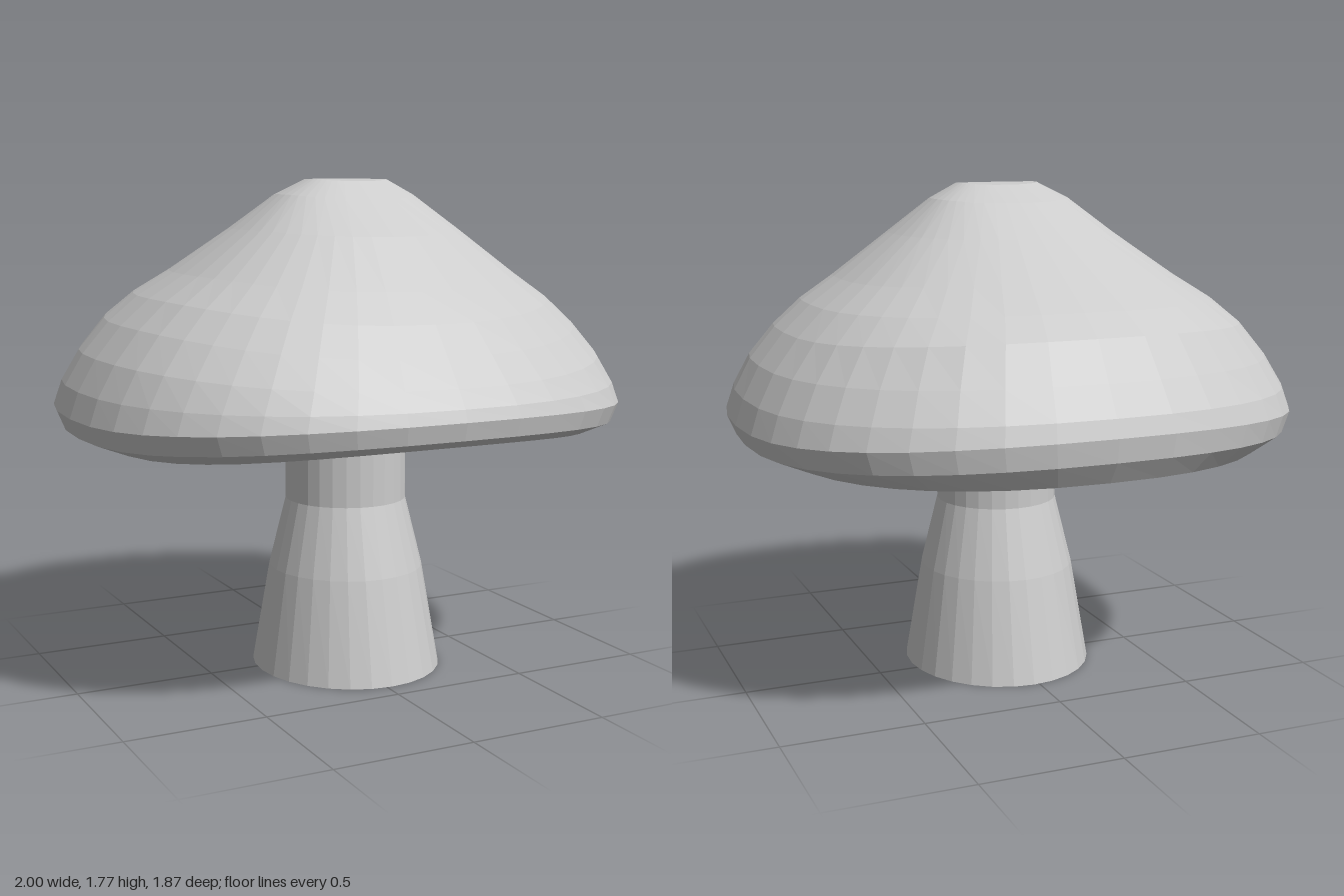
import * as THREE from 'three';

const material = new THREE.MeshStandardMaterial({ color: 0xcccccc, flatShading: true });

// Cap rings from crown, over the rim, to the hollow underside:
// [half width in x, front z, back z, y at sides, y at front, y at back]
const CAP_RINGS = [
  [0.00, 0.08, 0.08, 1.775, 1.775, 1.775],
  [0.15, 0.19, -0.01, 1.773, 1.765, 1.768],
  [0.25, 0.28, -0.13, 1.72, 1.70, 1.71],
  [0.40, 0.45, -0.31, 1.60, 1.58, 1.60],
  [0.60, 0.63, -0.53, 1.45, 1.41, 1.47],
  [0.72, 0.73, -0.67, 1.37, 1.31, 1.39],
  [0.82, 0.81, -0.77, 1.28, 1.21, 1.32],
  [0.91, 0.88, -0.85, 1.17, 1.12, 1.19],
  [0.97, 0.92, -0.91, 1.06, 1.06, 1.09],
  [1.00, 0.935, -0.93, 0.97, 1.02, 1.03],
  [0.97, 0.92, -0.92, 0.90, 0.96, 0.95],
  [0.86, 0.86, -0.87, 0.857, 0.93, 0.875],
  [0.75, 0.75, -0.74, 0.89, 0.95, 0.90],
  [0.60, 0.62, -0.57, 0.99, 1.01, 0.99],
  [0.43, 0.47, -0.38, 1.09, 1.09, 1.09],
  [0.26, 0.31, -0.21, 1.15, 1.15, 1.15],
  [0.00, 0.05, 0.05, 1.16, 1.16, 1.16],
];

function capGeometry(segments = 40) {
  const positions = [], index = [];
  const round = (v) => Math.sign(v) * Math.pow(Math.abs(v), 2 / 2.35); // softly squared outline
  for (const [halfX, front, back, ySide, yFront, yBack] of CAP_RINGS) {
    for (let j = 0; j < segments; j++) {
      const t = (j / segments) * Math.PI * 2;
      const c = Math.cos(t), s = Math.sin(t);
      const y = ySide * c * c + (s > 0 ? yFront : yBack) * s * s;
      positions.push(halfX * round(c), y, (front + back) / 2 + ((front - back) / 2) * round(s));
    }
  }
  for (let i = 0; i < CAP_RINGS.length - 1; i++) {
    for (let j = 0; j < segments; j++) {
      const a = i * segments + j, c = i * segments + ((j + 1) % segments);
      const b = a + segments, d = c + segments;
      if (i > 0) index.push(a, c, b);
      if (i < CAP_RINGS.length - 2) index.push(c, d, b);
      else index.push(a, c, b);
    }
  }
  const geometry = new THREE.BufferGeometry();
  geometry.setAttribute('position', new THREE.Float32BufferAttribute(positions, 3));
  geometry.setIndex(index);
  geometry.computeVertexNormals();
  return geometry;
}

// Stem: spreading foot, straight neck, flare into the cap
function stemGeometry() {
  const profile = [[0, 0], [0.34, 0], [0.28, 0.37], [0.22, 0.62], [0.22, 0.88], [0.30, 1.16]];
  const geometry = new THREE.LatheGeometry(profile.map(([r, y]) => new THREE.Vector2(r, y)), 28);
  const p = geometry.attributes.position;
  for (let i = 0; i < p.count; i++) {
    // the foot is slightly deeper than wide
    p.setZ(i, p.getZ(i) * (1 + 0.09 * Math.max(0, 1 - p.getY(i) / 0.62)));
  }
  geometry.computeVertexNormals();
  return geometry;
}

export function createModel() {
  const model = new THREE.Group();
  model.name = 'mushroom';

  const cap = new THREE.Mesh(capGeometry(), material);
  cap.name = 'cap';

  const stem = new THREE.Mesh(stemGeometry(), material);
  stem.name = 'stem';
  stem.position.set(0.02, 0, 0.05);

  model.add(cap, stem);
  return model;
}
